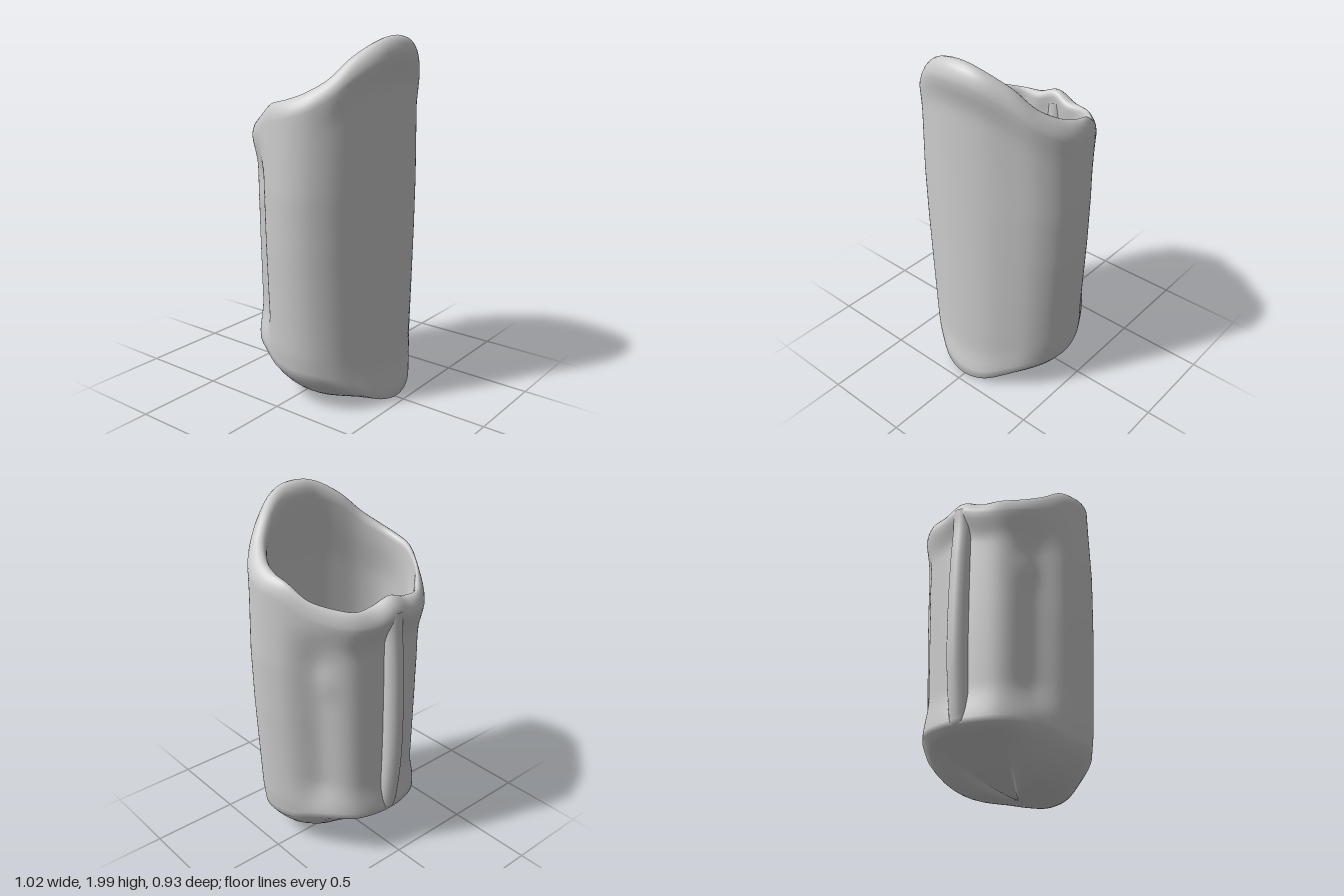
import * as THREE from 'three';

const smooth = THREE.MathUtils.smoothstep;
const lerp = THREE.MathUtils.lerp;

// Half outline from front to back: outer x, outer z, base edge y, rim y, mouth x, mouth z
const HALF = [
  [0, .43, .02, 2.0, 0, .34],
  [.15, .412, .04, 1.98, .11, .335],
  [.29, .355, .1, 1.905, .24, .28],
  [.41, .28, .16, 1.8, .33, .215],
  [.485, .185, .19, 1.735, .39, .12],
  [.51, .08, .2, 1.7, .41, .03],
  [.485, -.05, .21, 1.67, .405, -.07],
  [.42, -.17, .25, 1.6, .37, -.17],
  [.335, -.28, .27, 1.56, .29, -.25],
  [.24, -.35, .27, 1.54, .2, -.325],
  [.12, -.385, .27, 1.545, .1, -.32],
  [0, -.395, .27, 1.58, 0, -.335],
];
const LOOP = [...HALF, ...HALF.slice(1, -1).reverse().map(p => [-p[0], p[1], p[2], p[3], -p[4], p[5]])];
const COLS = LOOP.length * 6;

const closed = f => new THREE.CatmullRomCurve3(LOOP.map(f), true, 'centripetal');
const outerCurve = closed(p => new THREE.Vector3(p[0], p[3], p[1]));
const innerCurve = closed(p => new THREE.Vector3(p[4], p[2], p[5]));

// Width of the wall at height y
const WIDTHS = [[0, .87], [.13, .87], [.32, .925], [.6, .955], [.9, .985], [1.2, 1], [1.6, .975], [2.1, .96]];
function widthAt(y) {
  const i = Math.max(1, WIDTHS.findIndex(w => w[0] >= y));
  const [a, b] = [WIDTHS[i - 1], WIDTHS[i]];
  return lerp(a[1], b[1], (y - a[0]) / (b[0] - a[0]));
}

const frontness = o => Math.max(0, o.z / .43) ** 3;
const backness = o => Math.max(0, -o.z / .39) ** 3;

// Point of the wall at height y, moved inward by inset
function wallPoint(o, base, y, inset) {
  const front = frontness(o), back = backness(o);
  const flare = smooth(y, o.y - .25, o.y - .08) * (.035 * front + .04 * back);
  const foot = (1 - smooth(y, base, base + .2)) * (.025 * front + .02 * back);
  // back corners are flattened between the rim and the base
  const corner = Math.exp(-(((o.z + .23) / .1) ** 2));
  const hollow = .045 * corner * smooth(y, base, .5) * (1 - smooth(y, 1.2, 1.5));
  const tab = .01 * Math.exp(-(((o.z + .26) / .05) ** 2) - ((y - 1.12) / .09) ** 2);
  const k = 1 + (tab - hollow - inset) / Math.hypot(o.x, o.z);
  return new THREE.Vector3(o.x * widthAt(y) * k, y, o.z * k + Math.sign(o.z) * (flare + foot));
}

// All points of one vertical slice: underside, wall, rolled rim, lining, floor
function slice(u) {
  const o = outerCurve.getPoint(u), n = innerCurve.getPoint(u), base = n.y, pts = [];
  const side = 1 - frontness(o), power = lerp(3.5, 1.35, Math.min(1, backness(o) * 1.5));
  const edge = wallPoint(o, base, base, 0);
  for (let i = 0; i < 12; i++) {
    const s = i / 12;
    pts.push(new THREE.Vector3(edge.x * s, lerp(.01, base, s ** power), lerp(.16, edge.z, s)));
  }
  const top = o.y - .1;
  for (let i = 0; i <= 36; i++) pts.push(wallPoint(o, base, lerp(base, top, i / 36), 0));
  const lip = pts[pts.length - 1];
  for (let i = 1; i <= 10; i++) {
    const a = i / 10 * Math.PI, k = (1 - Math.cos(a)) / 2;
    const y = top + (.1 - .04 * side) * Math.sin(a) + .05 * side * k;
    pts.push(new THREE.Vector3(lerp(lip.x, n.x, k), y, lerp(lip.z, n.z, k)));
  }
  const mouth = pts[pts.length - 1], floor = base + .08;
  for (let i = 1; i <= 20; i++) {
    const y = lerp(mouth.y, floor, i / 20), k = smooth(i / 20, 0, .2);
    pts.push(wallPoint(o, base, y, .06).lerp(new THREE.Vector3(n.x, y, n.z), 1 - k));
  }
  const end = pts[pts.length - 1];
  for (let i = 1; i <= 12; i++) {
    const s = 1 - i / 12;
    pts.push(new THREE.Vector3(end.x * s, lerp(.09, floor, s ** power), lerp(.16, end.z, s)));
  }
  return pts;
}

function pouchGeometry() {
  const position = [], index = [];
  let rows = 0;
  for (let c = 0; c < COLS; c++) {
    const pts = slice(c / COLS);
    rows = pts.length;
    pts.forEach(p => position.push(p.x, p.y, p.z));
  }
  for (let c = 0; c < COLS; c++) {
    const a = c * rows, b = (c + 1) % COLS * rows;
    for (let r = 0; r < rows - 1; r++) index.push(a + r, b + r, a + r + 1, b + r, b + r + 1, a + r + 1);
  }
  const g = new THREE.BufferGeometry();
  g.setAttribute('position', new THREE.Float32BufferAttribute(position, 3));
  g.setIndex(index);
  g.computeVertexNormals();
  return g;
}

export function createModel() {
  const group = new THREE.Group();
  group.name = 'pouch';
  const material = new THREE.MeshStandardMaterial({ color: 0xcccccc });
  const add = (geometry, name) => {
    const mesh = new THREE.Mesh(geometry, material);
    mesh.name = name;
    group.add(mesh);
  };

  // Hollow body with rolled rim
  add(pouchGeometry(), 'body');

  // Raised seam down the back, its ends sunk into the wall
  const path = [[.31, -.375], [.38, -.387], [.6, -.41], [.85, -.415], [1.2, -.402], [1.4, -.385], [1.5, -.385]];
  const seam = new THREE.CatmullRomCurve3(path.map(([y, z]) => new THREE.Vector3(0, y, z)));
  add(new THREE.TubeGeometry(seam, 40, .056, 14), 'backSeam');
  // Rounded lower end of the seam
  const foot = new THREE.SphereGeometry(.056, 14, 10).translate(0, .31, -.375);
  add(foot, 'seamFoot');

  return group;
}
